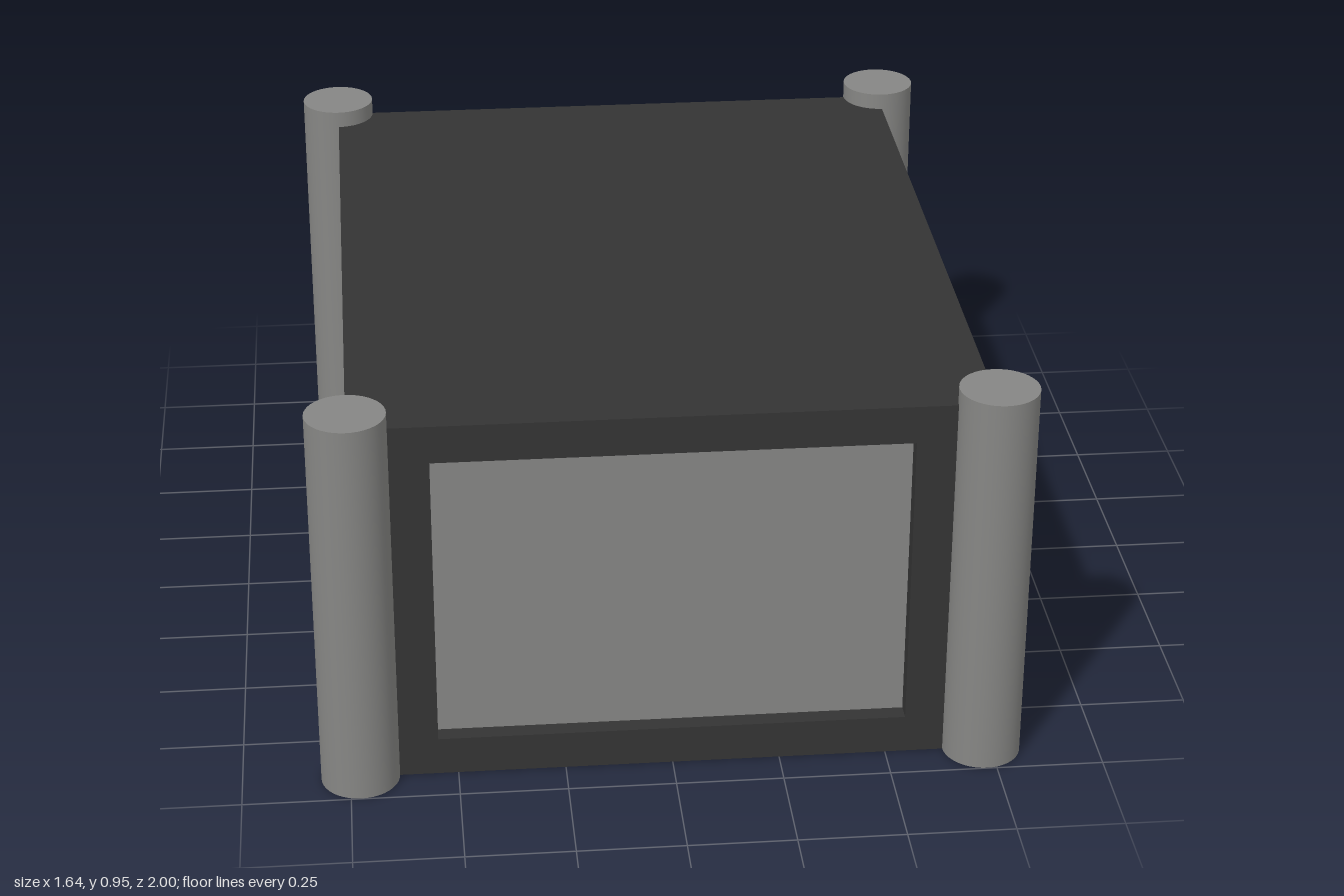
import * as THREE from 'three';

export function createModel() {
  const group = new THREE.Group();
  const darkFrame = new THREE.MeshStandardMaterial({ color: 0x343434 });
  darkFrame.name = 'darkFrame';
  const greyPanel = new THREE.MeshStandardMaterial({ color: 0x868684 });
  greyPanel.name = 'greyPanel';

  const X = 0.727, Z = 0.909, TOP = 0.909; // half width, half depth and height of the case
  const SILL = 0.093, HEAD = 0.818;        // bottom and top of the openings
  const CORNER = 0.182, INSET = 0.042;     // corner upright width, panel recess

  function add(name, geometry, material, x, y, z) {
    const mesh = new THREE.Mesh(geometry, material);
    mesh.name = name;
    mesh.position.set(x, y, z);
    group.add(mesh);
  }

  function box(name, material, w, d, y0, y1, x = 0, z = 0) {
    add(name, new THREE.BoxGeometry(w, y1 - y0, d), material, x, (y0 + y1) / 2, z);
  }

  // Top and bottom slabs of the case
  box('bottomSlab', darkFrame, 2 * X, 2 * Z, 0, SILL);
  box('topSlab', darkFrame, 2 * X, 2 * Z, HEAD, TOP);

  // Recessed panels on all four sides, formed by one core
  box('recessedPanels', greyPanel, 2 * (X - INSET), 2 * (Z - INSET), SILL, HEAD);

  // Corner uprights and round posts
  for (const sx of [-1, 1]) {
    for (const sz of [-1, 1]) {
      box('cornerUpright', darkFrame, CORNER, CORNER, SILL, HEAD,
        sx * (X - CORNER / 2), sz * (Z - CORNER / 2));
      const post = new THREE.CylinderGeometry(0.091, 0.091, 0.949, 40);
      add('cornerPost', post, greyPanel, sx * X, 0.001 + 0.949 / 2, sz * Z);
    }
  }
  return group;
}
